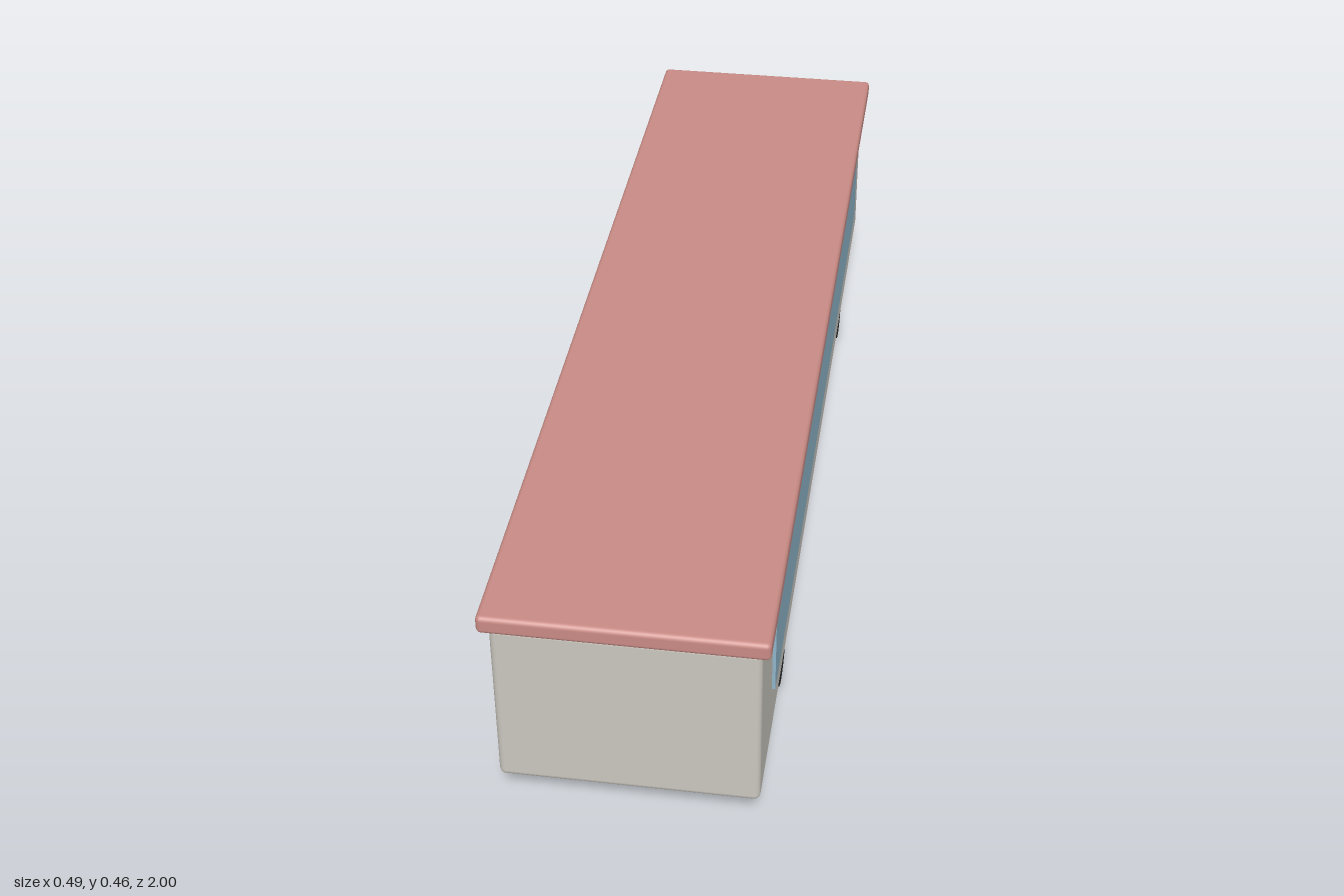
import * as THREE from 'three';
import { RoundedBoxGeometry } from 'three/addons/geometries/RoundedBoxGeometry.js';

export function createModel() {
  const model = new THREE.Group();
  model.name = 'railCar';

  const material = (name, color) => {
    const m = new THREE.MeshStandardMaterial({ color });
    m.name = name;
    return m;
  };
  const cream = material('cream body', 0xcbc7bf);
  const red = material('dusty red roof', 0xc98b85);
  const blue = material('window blue', 0x90b5ca);
  const dark = material('wheel black', 0x2b3133);

  const add = (name, geometry, mat, x, y, z) => {
    const mesh = new THREE.Mesh(geometry, mat);
    mesh.name = name;
    mesh.position.set(x, y, z);
    model.add(mesh);
    return mesh;
  };

  // Long body with softened edges, and an overhanging roof slab
  add('body', new RoundedBoxGeometry(0.458, 0.34, 1.964, 3, 0.012), cream, 0, 0.247, 0);
  add('roof', new RoundedBoxGeometry(0.49, 0.035, 2, 3, 0.009), red, 0, 0.4375, 0);

  // Side windows and wheels, mirrored left and right
  const windowPlate = new THREE.BoxGeometry(0.008, 0.212, 1.64);
  const wheel = new THREE.CylinderGeometry(0.056, 0.056, 0.033, 32).rotateZ(Math.PI / 2);
  for (const [side, s] of [['left', 1], ['right', -1]]) {
    add(side + 'Window', windowPlate, blue, s * 0.231, 0.297, 0);
    for (const [end, e] of [['Front', 1], ['Back', -1]]) {
      add(side + end + 'Wheel', wheel, dark, s * 0.207, 0.056, e * 0.59);
    }
  }
  return model;
}
